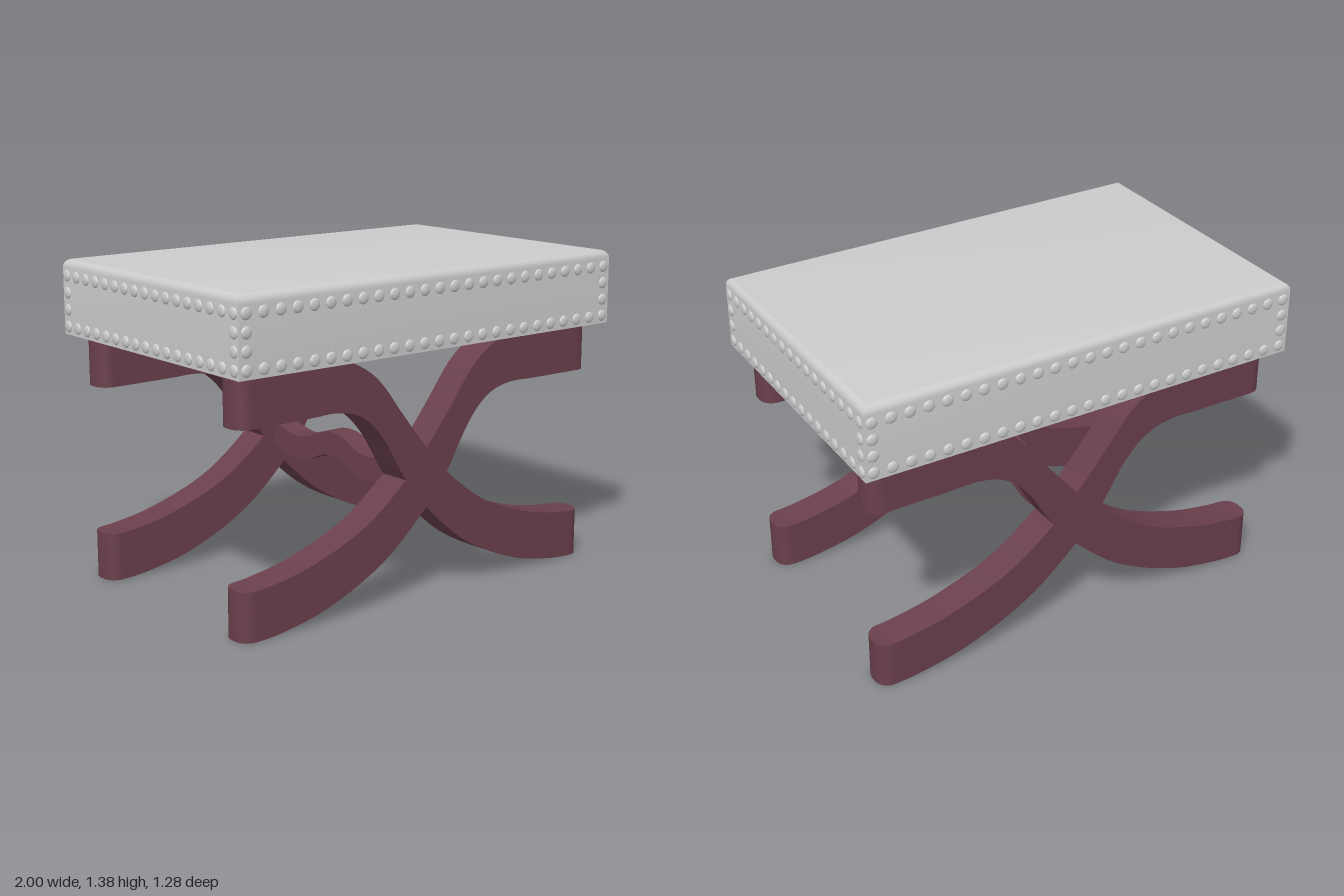
import * as THREE from 'three';
import { toCreasedNormals } from 'three/addons/utils/BufferGeometryUtils.js';

const fabric = new THREE.MeshStandardMaterial({ color: 0xcccccc });
const wood = new THREE.MeshStandardMaterial({ color: 0x6a3f4c });

// Smooth curve y(x) through points, flat at both ends
function curveAt(pts, x) {
  const slope = (i) => (i <= 0 || i >= pts.length - 1) ? 0
    : (pts[i + 1][1] - pts[i - 1][1]) / (pts[i + 1][0] - pts[i - 1][0]);
  let i = 0;
  while (i < pts.length - 2 && x > pts[i + 1][0]) i++;
  const [x0, y0] = pts[i], [x1, y1] = pts[i + 1];
  const h = x1 - x0, t = (x - x0) / h, t2 = t * t, t3 = t2 * t;
  return y0 * (2 * t3 - 3 * t2 + 1) + h * slope(i) * (t3 - 2 * t2 + t)
    + y1 * (3 * t2 - 2 * t3) + h * slope(i + 1) * (t3 - t2);
}

// Bar along x between an upper and a lower edge curve, its ends rounded in plan
function curvedBar(upper, lower, halfWidth, round) {
  const start = upper[0][0], end = upper[upper.length - 1][0];
  const xs = [], arcSteps = 7, steps = 60;
  const arc = [];
  for (let k = 0; k < arcSteps && round > 0; k++) arc.push(round * (1 - Math.cos(k / arcSteps * Math.PI / 2)));
  arc.forEach((d) => xs.push(start + d));
  for (let k = 0; k <= steps; k++) xs.push(start + round + (end - start - 2 * round) * k / steps);
  arc.reverse().forEach((d) => xs.push(end - d));

  const pos = [], index = [];
  xs.forEach((x, i) => {
    const d = Math.max(0, round - Math.min(x - start, end - x));
    const w = halfWidth - round + Math.sqrt(Math.max(0, round * round - d * d));
    const hi = curveAt(upper, x), lo = curveAt(lower, x);
    pos.push(x, hi, w, x, hi, -w, x, lo, -w, x, lo, w);
    if (i === 0) return;
    for (let j = 0; j < 4; j++) {
      const a = (i - 1) * 4 + j, b = (i - 1) * 4 + (j + 1) % 4;
      index.push(a, a + 4, b, a + 4, b + 4, b);
    }
  });
  const e = (xs.length - 1) * 4;
  index.push(0, 1, 2, 0, 2, 3, e, e + 2, e + 1, e, e + 3, e + 2);
  const geo = new THREE.BufferGeometry();
  geo.setAttribute('position', new THREE.Float32BufferAttribute(pos, 3));
  geo.setIndex(index);
  return toCreasedNormals(geo, 0.6);
}

// Box cushion whose top edges roll over a quarter round
function cushionGeometry(hx, hz, bottom, top, r) {
  const n = 7;
  const geo = new THREE.BoxGeometry(2, n, 2, 1, n, 1);
  const p = geo.attributes.position;
  for (let i = 0; i < p.count; i++) {
    const row = Math.round(p.getY(i) + n / 2);
    const a = (row - 1) / (n - 1) * Math.PI / 2;
    const inset = row === 0 ? 0 : r * (1 - Math.cos(a));
    const y = row === 0 ? bottom : top - r + r * Math.sin(a);
    p.setXYZ(i, Math.sign(p.getX(i)) * (hx - inset), y, Math.sign(p.getZ(i)) * (hz - inset));
  }
  return toCreasedNormals(geo, 0.6);
}

export function createModel() {
  const model = new THREE.Group();
  const add = (name, geo, mat, parent = model) => {
    const mesh = new THREE.Mesh(geo, mat);
    mesh.name = name;
    parent.add(mesh);
    return mesh;
  };

  // Upholstered seat
  const hx = 0.99, hz = 0.628;
  add('seat', cushionGeometry(hx, hz, 1.06, 1.38, 0.035), fabric);

  // Nail heads framing all four sides
  const nailGeo = new THREE.SphereGeometry(0.025, 14, 5, 0, Math.PI * 2, 0, Math.PI / 2);
  nailGeo.rotateX(Math.PI / 2).scale(1, 1, 0.4);
  const rowTop = 1.31, rowBottom = 1.095;
  function nailFrame(name, halfSpan, columns, distance, angle) {
    const frame = new THREE.Group();
    frame.name = name;
    frame.rotation.y = angle;
    const nail = (x, y) => add('nailHead', nailGeo, fabric, frame).position.set(x, y, distance);
    for (let i = 0; i < columns; i++) {
      const x = -halfSpan + 2 * halfSpan * i / (columns - 1);
      nail(x, rowTop);
      nail(x, rowBottom);
    }
    for (const x of [-halfSpan, halfSpan])
      for (const t of [1 / 3, 2 / 3]) nail(x, rowBottom + (rowTop - rowBottom) * t);
    model.add(frame);
  }
  nailFrame('frontNails', 0.955, 25, hz, 0);
  nailFrame('backNails', 0.955, 25, hz, Math.PI);
  nailFrame('leftNails', 0.596, 17, hx, Math.PI / 2);
  nailFrame('rightNails', 0.596, 17, hx, -Math.PI / 2);

  // Crossed S-shaped legs, one pair at the front and one at the back
  const legUpper = [[-0.945, 1.06], [-0.5, 1.06], [-0.4, 1.046], [-0.26, 0.957], [-0.125, 0.79],
    [0, 0.64], [0.12, 0.513], [0.33, 0.36], [0.6, 0.255], [0.82, 0.212], [0.935, 0.207]];
  const legLower = [[-0.945, 0.85], [-0.6, 0.852], [-0.46, 0.852], [-0.34, 0.815], [-0.235, 0.715],
    [-0.11, 0.515], [0, 0.385], [0.22, 0.2], [0.5, 0.067], [0.75, 0.01], [0.935, 0]];
  const legGeo = curvedBar(legUpper, legLower, 0.0725, 0.06);
  for (const [side, z] of [['front', 0.4875], ['back', -0.4875]]) {
    const pair = new THREE.Group();
    pair.name = side + 'Legs';
    pair.position.z = z;
    add(side + 'LegFallingLeft', legGeo, wood, pair);
    add(side + 'LegFallingRight', legGeo, wood, pair).rotation.y = Math.PI;
    model.add(pair);
  }

  // Wavy stretcher joining the two crossings
  const wave = [[-0.45, 0.53], [-0.4, 0.52], [-0.32, 0.501], [-0.24, 0.491], [-0.16, 0.505], [-0.07, 0.543],
    [0, 0.552], [0.07, 0.543], [0.16, 0.505], [0.24, 0.491], [0.32, 0.501], [0.4, 0.52], [0.45, 0.53]];
  const shifted = (d) => wave.map(([x, y]) => [x, y + d]);
  add('stretcher', curvedBar(shifted(0.0525), shifted(-0.0525), 0.0525, 0), wood).rotation.y = Math.PI / 2;

  return model;
}
